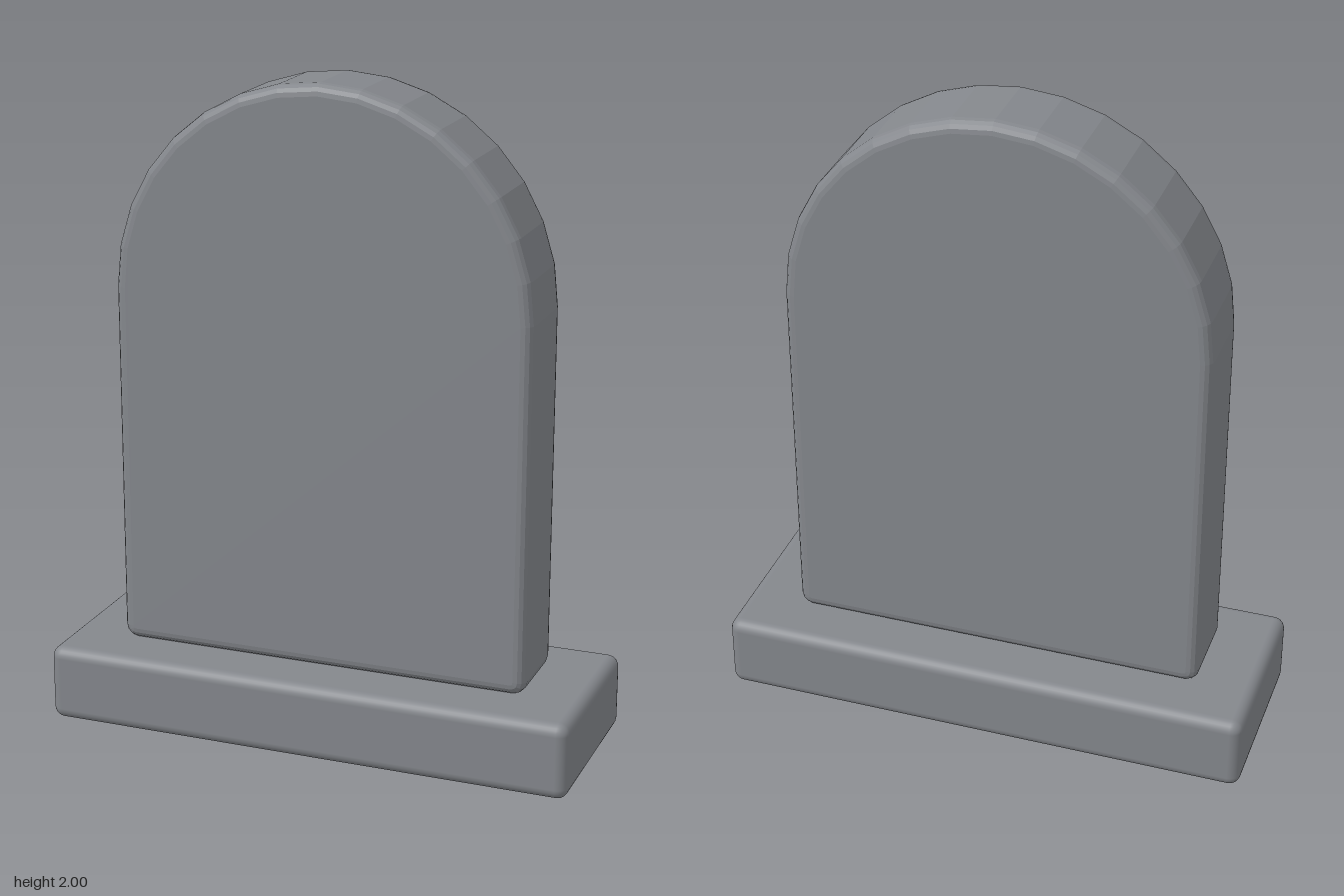
import * as THREE from 'three';
import { RoundedBoxGeometry } from 'three/addons/geometries/RoundedBoxGeometry.js';

export function createModel() {
  const group = new THREE.Group();
  group.name = 'headstone';
  const stone = new THREE.MeshStandardMaterial({ color: 0x84878c });
  stone.name = 'grey stone';

  // Plinth with softened edges
  const baseHeight = 0.235;
  const plinth = new THREE.Mesh(new RoundedBoxGeometry(1.645, baseHeight, 0.59, 3, 0.035), stone);
  plinth.name = 'plinth';
  plinth.position.y = baseHeight / 2;
  group.add(plinth);

  // Upright slab: faceted round top, softened lower corners
  const half = 0.645, spring = 2 - half, corner = 0.04, bevel = 0.035, depth = 0.28;
  const points = [];
  const arc = (cx, cy, r, from, to, steps) => {
    for (let i = 0; i <= steps; i++) {
      const a = from + (to - from) * i / steps;
      points.push(new THREE.Vector2(cx + r * Math.cos(a), cy + r * Math.sin(a)));
    }
  };
  arc(-half + corner, baseHeight + corner, corner, Math.PI, Math.PI * 1.5, 3);
  arc(half - corner, baseHeight + corner, corner, Math.PI * 1.5, Math.PI * 2, 3);
  arc(0, spring, half, 0, Math.PI, 16);

  const slabGeometry = new THREE.ExtrudeGeometry(new THREE.Shape(points), {
    depth: depth - 2 * bevel,
    bevelThickness: bevel,
    bevelSize: bevel,
    bevelOffset: -bevel,
    bevelSegments: 4,
  });
  slabGeometry.translate(0, 0, -depth / 2 + bevel);
  const slab = new THREE.Mesh(slabGeometry, stone);
  slab.name = 'slab';
  group.add(slab);

  return group;
}
